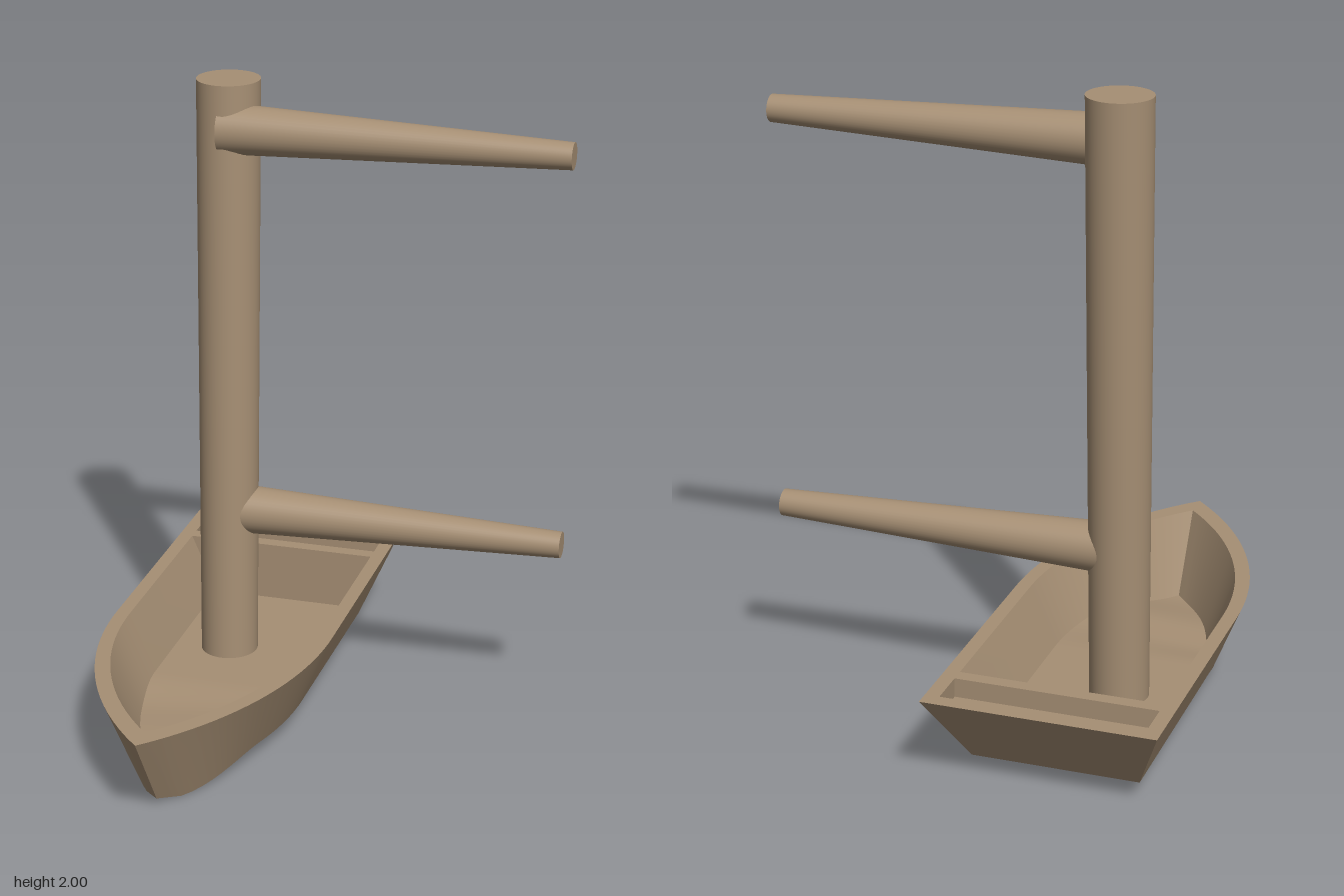
import * as THREE from 'three';
import { toCreasedNormals } from 'three/addons/utils/BufferGeometryUtils.js';

const wood = new THREE.MeshStandardMaterial({ color: 0xa68f74, side: THREE.DoubleSide });
wood.name = 'brown wood';

const CX = -0.34;      // hull centreline
const RIM = 0.29;      // height of the gunwale
const STEPS = 20;      // stations along the curved bow
const smooth = THREE.MathUtils.smoothstep;

// Closed boat outline: straight sides, then an arc on each side meeting at the bow tip.
function outline(half, tip, stern, yAt) {
  const R = (half * half + tip * tip) / (2 * half);
  const side = s => {
    const pts = [new THREE.Vector3(CX + s * half, yAt(s, stern), stern)];
    for (let i = 0; i <= STEPS; i++) {
      const z = tip * i / STEPS;
      const w = i === STEPS ? 0 : half - R + Math.sqrt(R * R - z * z);
      pts.push(new THREE.Vector3(CX + s * w, yAt(i === STEPS ? 1 : s, z), z));
    }
    return pts;
  };
  return [...side(1), ...side(-1).reverse().slice(1)];
}

// Keel line: sags towards the bow, earlier on the right side than on the left.
function keel(s, z) {
  const sag = s < 0
    ? 0.032 * smooth(z, 0.03, 0.22) + 0.021 * smooth(z, 0.35, 0.6)
    : 0.053 * smooth(z, 0.3, 0.6);
  return 0.055 - sag + 0.018 * smooth(z, 0.6, 0.67) - (z < -0.66 ? 0.005 : 0);
}

function geometryFrom(points, crease = 0.5) {
  const g = new THREE.BufferGeometry().setFromPoints(points);
  g.computeVertexNormals();
  return toCreasedNormals(g, crease);
}

// Wall between two closed loops
function skin(a, b) {
  const p = [];
  a.forEach((_, i) => {
    const j = (i + 1) % a.length;
    p.push(a[i], b[i], b[j], a[i], b[j], a[j]);
  });
  return geometryFrom(p);
}

// Cap that joins the left and right halves of a loop
function cap(loop, up) {
  const p = [], n = loop.length, m = (n - 1) / 2;
  const tri = (a, b, c) => p.push(a, up ? b : c, up ? c : b);
  for (let i = 0; i < m; i++) {
    tri(loop[i], loop[n - 1 - i], loop[n - 2 - i]);
    if (i < m - 1) tri(loop[i], loop[n - 2 - i], loop[i + 1]);
  }
  return geometryFrom(p);
}

export function createModel() {
  const model = new THREE.Group();
  model.name = 'boat';
  const add = (name, geometry, parent = model) => {
    const mesh = new THREE.Mesh(geometry, wood);
    mesh.name = name;
    parent.add(mesh);
    return mesh;
  };

  // Hull
  const hull = new THREE.Group();
  hull.name = 'hull';
  model.add(hull);
  const top = () => RIM;
  const outerTop = outline(0.36, 0.845, -0.85, top);
  const outerBottom = outline(0.26, 0.67, -0.68, keel);
  const innerTop = outline(0.315, 0.76, -0.63, top);
  const floor = outline(0.232, 0.61, -0.63, (s, z) => keel(s, z) + 0.04);
  const pocketAt = y => [[0.315, -0.8], [0.315, -0.675], [-0.315, -0.675], [-0.315, -0.8]]
    .map(([x, z]) => new THREE.Vector3(CX + x, y, z));
  const pocketTop = pocketAt(RIM), pocketBottom = pocketAt(RIM - 0.06);

  add('hullSides', skin(outerBottom, outerTop), hull);
  add('hullBottom', cap(outerBottom, false), hull);
  add('innerWalls', skin(innerTop, floor), hull);
  add('floor', cap(floor, true), hull);

  // Gunwale and stern deck, cut out for the cockpit and the stern pocket
  const flat = loop => loop.map(v => new THREE.Vector2(v.x, -v.z));
  const deck = new THREE.Shape(flat(outerTop));
  deck.holes.push(new THREE.Path(flat(innerTop)), new THREE.Path(flat(pocketTop)));
  add('gunwale', new THREE.ShapeGeometry(deck).rotateX(-Math.PI / 2).translate(0, RIM, 0), hull);

  // Stern pocket
  add('pocketWalls', skin(pocketTop, pocketBottom), hull);
  add('pocketFloor', new THREE.PlaneGeometry(0.63, 0.125).rotateX(-Math.PI / 2)
    .translate(CX, RIM - 0.06, -0.7375), hull);

  // Mast, sheared so that it rakes aft with level ends
  const base = 0.08, height = 2 - base;
  const mast = new THREE.CylinderGeometry(0.1, 0.092, height, 48);
  mast.applyMatrix4(new THREE.Matrix4().set(
    1, 0, 0, -0.397,
    0, 1, 0, base + height / 2,
    0, -0.065 / height, 1, -0.268,
    0, 0, 0, 1));
  add('mast', mast);

  // Tapered yards reaching out to the left
  for (const [name, y] of [['lowerYard', 0.585], ['upperYard', 1.852]]) {
    const yard = new THREE.CylinderGeometry(0.042, 0.08, 1.1, 40).rotateZ(-Math.PI / 2);
    add(name, yard.translate(0.145, y, -0.257));
  }
  return model;
}
